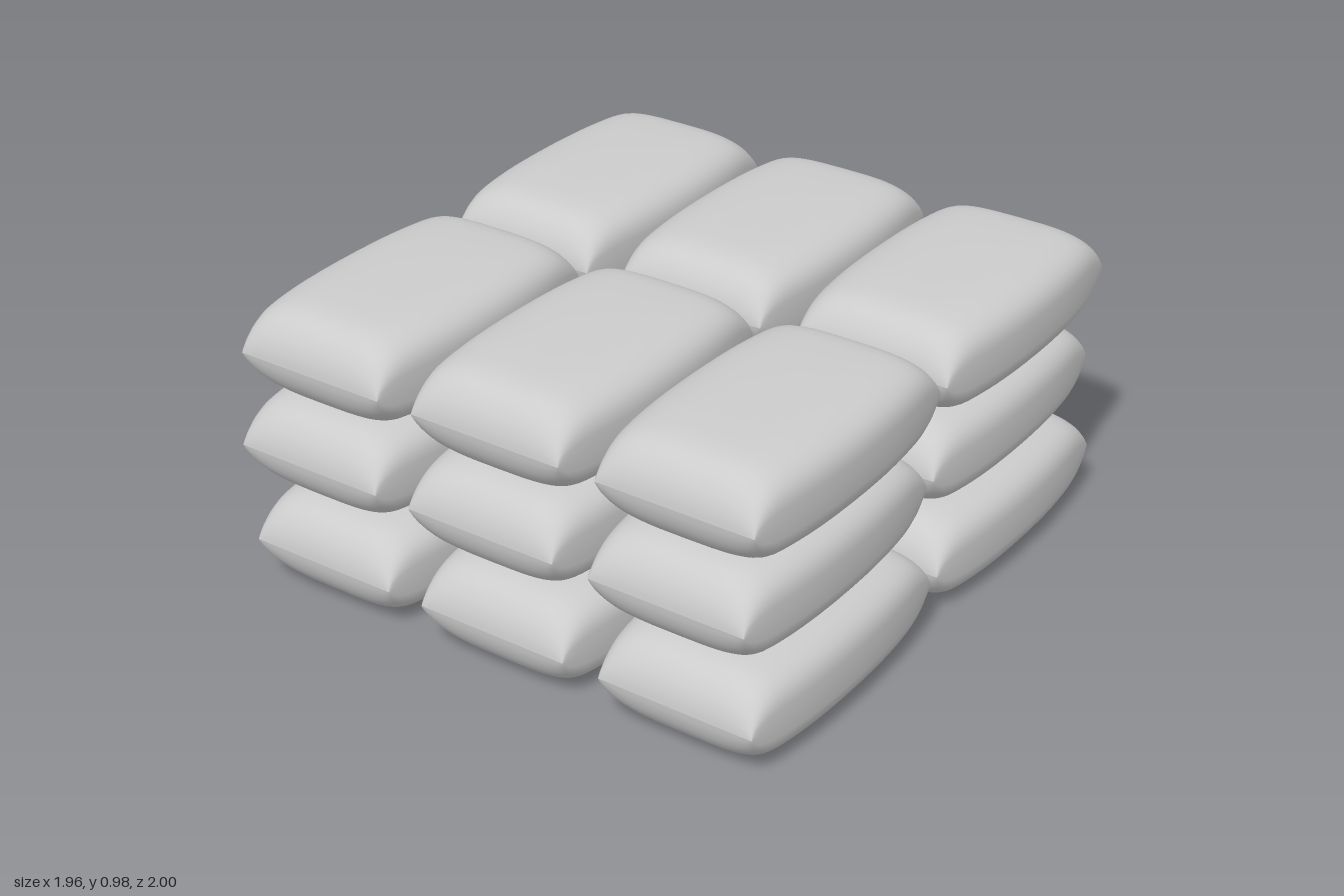
import * as THREE from 'three';

const HALF_LENGTH = 0.49;

// Pillow-shaped sack: rounded cross-sections lofted along z, closing to a ridge at each end
function sackGeometry() {
  const half = [[0.49, 0], [0.484, 0.035], [0.466, 0.078], [0.43, 0.12], [0.37, 0.148], [0.26, 0.157], [0.12, 0.16]];
  const profile = [
    ...half.map(([z, h]) => new THREE.Vector2(-z, h)),
    ...half.map(([z, h]) => new THREE.Vector2(z, h)).reverse(),
  ];
  const sections = new THREE.SplineCurve(profile).getPoints(39);
  const around = 48;
  const power = 2 / 3.5;
  const soften = (v) => Math.sign(v) * Math.abs(v) ** power;

  const positions = [];
  const index = [];
  sections.forEach(({ x: z, y: height }, i) => {
    const width = 0.265 + 0.045 * (1 - Math.abs(z / HALF_LENGTH) ** 2.2);
    for (let j = 0; j < around; j++) {
      const angle = (j / around) * Math.PI * 2;
      positions.push(width * soften(Math.cos(angle)), Math.max(height, 0) * soften(Math.sin(angle)), z);
      if (i === sections.length - 1) continue;
      const a = i * around + j;
      const b = i * around + ((j + 1) % around);
      index.push(a, b, a + around, b, b + around, a + around);
    }
  });

  const geometry = new THREE.BufferGeometry();
  geometry.setAttribute('position', new THREE.Float32BufferAttribute(positions, 3));
  geometry.setIndex(index);
  geometry.computeVertexNormals();
  return geometry;
}

export function createModel() {
  const model = new THREE.Group();
  model.name = 'sackStack';
  const geometry = sackGeometry();
  const material = new THREE.MeshStandardMaterial({ color: 0xcccccc });

  // Three layers of 3 x 2 sacks, the middle layer shifted sideways
  for (let layer = 0; layer < 3; layer++) {
    const group = new THREE.Group();
    group.name = `sackLayer${layer + 1}`;
    group.position.set(layer === 1 ? -0.017 : 0.013, 0.168 + layer * 0.329, 0);
    for (const column of [-1, 0, 1]) {
      for (const row of [-1, 1]) {
        const sack = new THREE.Mesh(geometry, material);
        sack.name = 'sack';
        sack.position.set(column * 0.657, 0, row * 0.509);
        group.add(sack);
      }
    }
    model.add(group);
  }
  return model;
}
